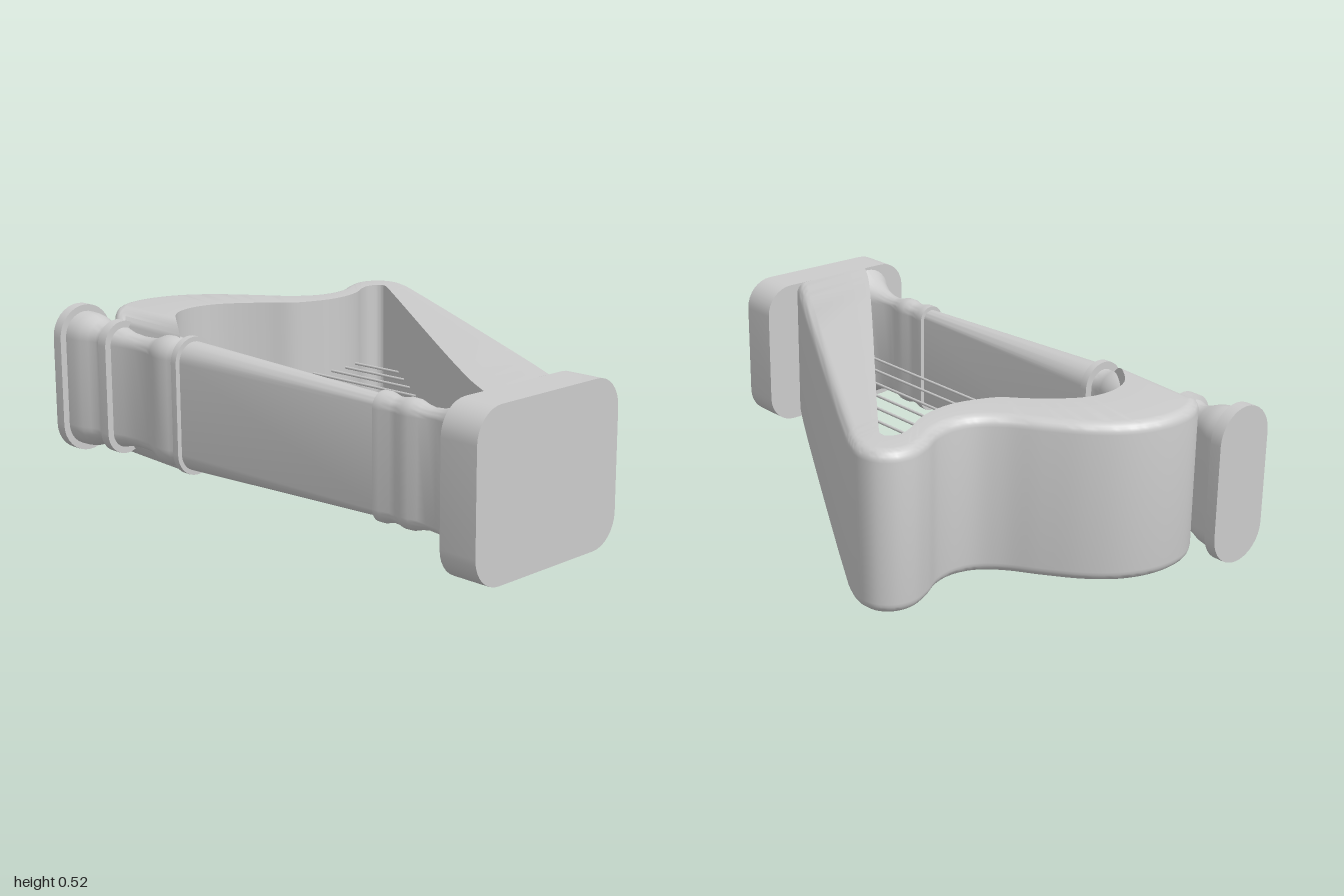
import * as THREE from 'three';
import { toCreasedNormals } from 'three/addons/utils/BufferGeometryUtils.js';

const HEIGHT = 0.52, MID = HEIGHT / 2;
const material = new THREE.MeshStandardMaterial({ color: 0xcccccc });

// Skin a list of equal-sized rings, counter-clockwise about the travel direction, with end caps
function loft(name, rings) {
  const n = rings[0].length, pos = [], index = [];
  rings.forEach(r => r.forEach(p => pos.push(p.x, p.y, p.z)));
  for (let i = 0; i < rings.length - 1; i++) {
    for (let j = 0; j < n; j++) {
      const k = (j + 1) % n, a = i * n, b = a + n;
      index.push(a + j, a + k, b + k, a + j, b + k, b + j);
    }
  }
  const last = (rings.length - 1) * n;
  for (let j = 1; j < n - 1; j++) {
    index.push(0, j + 1, j, last, last + j, last + j + 1);
  }
  const geo = new THREE.BufferGeometry();
  geo.setAttribute('position', new THREE.Float32BufferAttribute(pos, 3));
  geo.setIndex(index);
  const mesh = new THREE.Mesh(toCreasedNormals(geo, 0.6), material);
  mesh.name = name;
  return mesh;
}

// Rounded rectangle in the x-y plane
function roundedRing(cx, halfW, halfH, radius, z) {
  const ring = [], seg = 8;
  [[1, 1], [-1, 1], [-1, -1], [1, -1]].forEach(([sx, sy], q) => {
    for (let i = 0; i <= seg; i++) {
      const a = (q + i / seg) * Math.PI / 2;
      ring.push(new THREE.Vector3(
        cx + sx * (halfW - radius * 1.001) + radius * Math.cos(a),
        MID + sy * (halfH - radius) + radius * Math.sin(a), z));
    }
  });
  return ring;
}

// Neck and sound box: one strip between an inner and an outer curve, outer edges rounded
function frame() {
  // inner x, inner z, outer x, outer z
  const stations = [
    [-0.47, -0.44, -0.47, -0.79], [-0.41, -0.535, -0.41, -0.862], [-0.34, -0.614, -0.34, -0.905],
    [-0.27, -0.645, -0.243, -0.92], [-0.206, -0.65, -0.153, -0.905], [-0.143, -0.635, -0.074, -0.868],
    [-0.074, -0.593, 0.005, -0.8], [-0.005, -0.534, 0.085, -0.698], [0.058, -0.47, 0.153, -0.603],
    [0.127, -0.44, 0.217, -0.55], [0.2, -0.423, 0.286, -0.534], [0.286, -0.429, 0.365, -0.55],
    [0.36, -0.455, 0.44, -0.593], [0.429, -0.497, 0.513, -0.619], [0.48, -0.513, 0.577, -0.608],
    [0.513, -0.503, 0.62, -0.566], [0.524, -0.48, 0.63, -0.503], [0.503, -0.444, 0.608, -0.434],
    [0.43, -0.344, 0.56, -0.344], [-0.37, 0.73, -0.058, 0.725], [-0.47, 0.884, -0.155, 0.884],
  ];
  const curve = k => new THREE.CatmullRomCurve3(
    stations.map(s => new THREE.Vector3(s[k], 0, s[k + 1])), false, 'centripetal');
  const inner = curve(0), outer = curve(2), steps = 120, bevel = 0.035, seg = 6;
  const rings = [];
  for (let i = 0; i <= steps; i++) {
    const t = i / steps, p = inner.getPoint(t), o = outer.getPoint(t), tan = outer.getTangent(t);
    // the neck sinks toward the column at its start
    const inset = 0.05 * Math.max(0, 1 - t * 18) ** 2;
    const at = (q, y) => new THREE.Vector3(q.x, y, q.z);
    const lower = [];
    for (let j = 0; j <= seg; j++) {
      const a = j / seg * Math.PI / 2, back = bevel * (1 - Math.sin(a));
      lower.push(new THREE.Vector3(
        o.x - tan.z * back, inset + bevel * (1 - Math.cos(a)), o.z + tan.x * back));
    }
    const upper = lower.map(v => at(v, HEIGHT - v.y)).reverse();
    rings.push([at(p, inset), ...lower, ...upper, at(p, HEIGHT - inset)]);
  }
  return loft('neckAndSoundBox', rings);
}

export function createModel() {
  const model = new THREE.Group();
  model.name = 'harp';

  // Base block
  model.add(loft('base', [0.868, 1].map(z => roundedRing(-0.325, 0.31, MID, 0.1, z))));

  // Turned column: z, radius
  const profile = [
    [-1, 0.107], [-0.96, 0.107], [-0.96, 0.084], [-0.92, 0.083], [-0.89, 0.078], [-0.86, 0.066],
    [-0.83, 0.056], [-0.81, 0.057], [-0.79, 0.064], [-0.785, 0.079], [-0.745, 0.079], [-0.745, 0.056],
    [-0.7, 0.045], [-0.64, 0.041], [-0.57, 0.044], [-0.54, 0.053], [-0.51, 0.065], [-0.47, 0.067],
    [-0.44, 0.062], [-0.415, 0.053], [-0.395, 0.055], [-0.395, 0.08], [-0.37, 0.08], [-0.37, 0.064],
    [0.49, 0.034], [0.49, 0.048], [0.515, 0.048], [0.55, 0.039], [0.575, 0.04], [0.6, 0.046],
    [0.63, 0.045], [0.66, 0.036], [0.69, 0.031], [0.73, 0.034], [0.78, 0.047], [0.83, 0.072],
    [0.875, 0.102],
  ];
  model.add(loft('column', profile.map(([z, r]) => roundedRing(-0.47, r, 0.153 + r, r, z))));

  model.add(frame());

  // Strings: x, neck end z, sound box end z
  const strings = new THREE.Group();
  strings.name = 'strings';
  [
    [-0.315, -0.62, 0.67], [-0.24, -0.64, 0.57], [-0.158, -0.63, 0.46], [-0.085, -0.59, 0.36],
    [-0.012, -0.53, 0.26], [0.062, -0.46, 0.165], [0.132, -0.43, 0.07], [0.206, -0.41, -0.02],
    [0.278, -0.42, -0.12], [0.348, -0.44, -0.21],
  ].forEach(([x, z0, z1], i) => {
    const a = new THREE.Vector3(x - 0.004, MID, z0 - 0.03), b = new THREE.Vector3(x + 0.004, MID, z1 + 0.02);
    const string = new THREE.Mesh(
      new THREE.TubeGeometry(new THREE.LineCurve3(a, b), 1, 0.005, 8), material);
    string.name = `string${i + 1}`;
    strings.add(string);
  });
  model.add(strings);
  return model;
}
